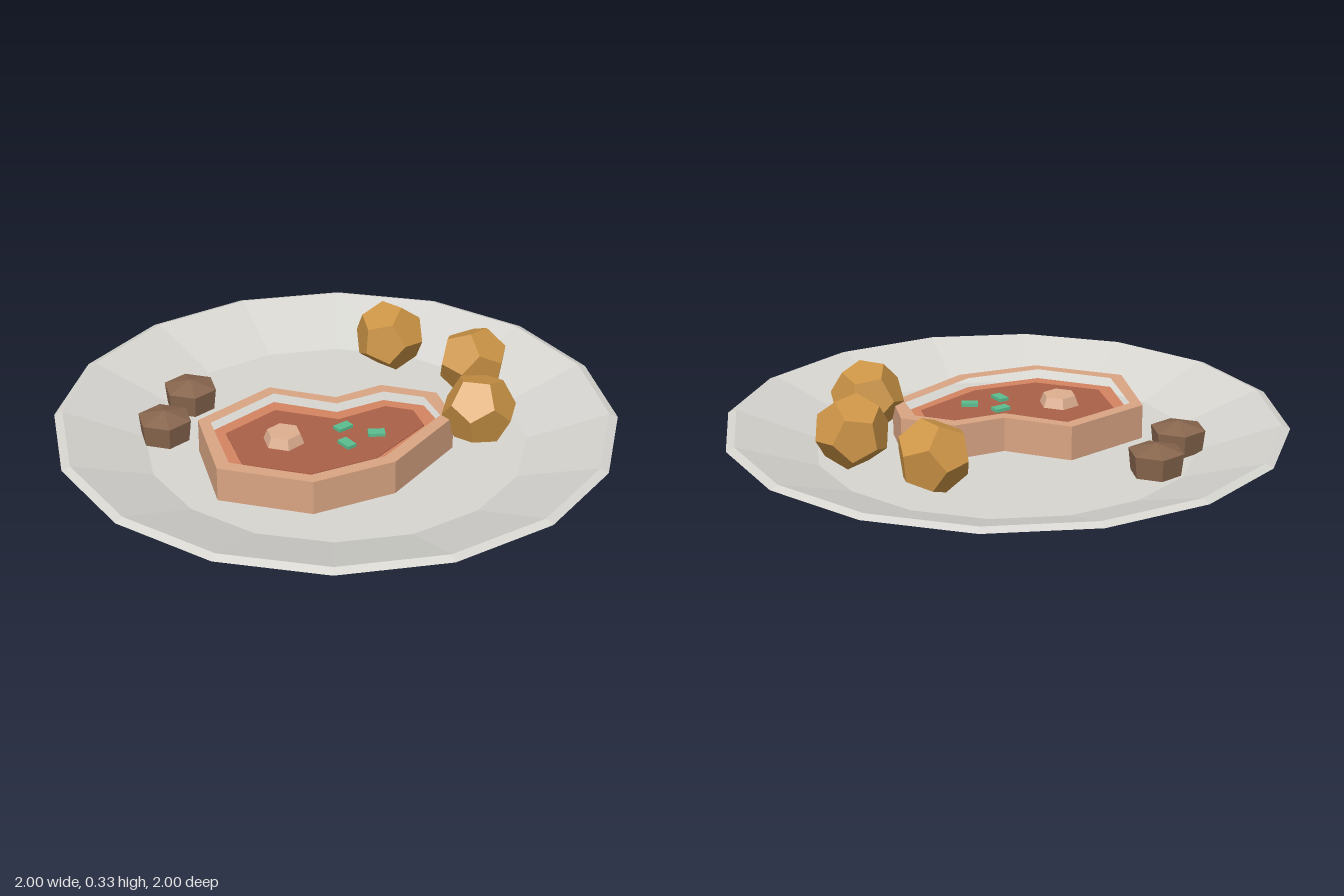
import * as THREE from 'three';

const paint = (name, color) => new THREE.MeshStandardMaterial({ name, color, flatShading: true });

export function createModel() {
  const model = new THREE.Group();
  model.name = 'dinnerPlate';

  const ceramic = paint('ceramic', 0xd6d5d0);
  const fat = paint('fat', 0xdaa584);
  const searedEdge = paint('searedEdge', 0xd48460);
  const meat = paint('meat', 0xab6048);
  const bone = paint('bone', 0xdeaf90);
  const potato = paint('potato', 0xcc9446);
  const mushroom = paint('mushroom', 0x88664e);
  const herb = paint('herb', 0x5cbd8f);

  const add = (name, geometry, material, x = 0, y = 0, z = 0, parent = model) => {
    const mesh = new THREE.Mesh(geometry, material);
    mesh.name = name;
    mesh.position.set(x, y, z);
    parent.add(mesh);
    return mesh;
  };
  const lathe = (points, sides) =>
    new THREE.LatheGeometry(points.map(([r, y]) => new THREE.Vector2(r, y)), sides);

  // Plate: sixteen-sided, with a foot, a sloping wall and a bevelled rim
  add('plate', lathe([
    [0, 0], [0.62, 0], [0.64, 0.03], [0.67, 0.05], [1, 0.148],
    [0.97, 0.16], [0.68, 0.06], [0, 0.06],
  ], 16), ceramic);

  // Steak: nested outlines given as x, z
  const outer = [[-0.58, 0.02], [-0.41, -0.27], [-0.07, -0.27], [0.05, -0.05], [0.23, 0],
    [0.33, 0.18], [0.245, 0.34], [-0.12, 0.41], [-0.41, 0.31]];
  const middle = [[-0.525, 0.02], [-0.39, -0.225], [-0.09, -0.225], [0.02, -0.015], [0.2, 0.04],
    [0.275, 0.17], [0.22, 0.3], [-0.12, 0.36], [-0.385, 0.27]];
  const inner = [[-0.465, 0.02], [-0.365, -0.175], [-0.13, -0.175], [-0.015, 0.03], [0.17, 0.08],
    [0.22, 0.17], [0.17, 0.27], [-0.11, 0.31], [-0.34, 0.23]];
  const toPoints = (outline) => outline.map(([x, z]) => new THREE.Vector2(x, -z));
  const slab = (outline, depth, hole) => {
    const shape = new THREE.Shape(toPoints(outline));
    if (hole) shape.holes.push(new THREE.Path(toPoints(hole)));
    return new THREE.ExtrudeGeometry(shape, { depth, bevelEnabled: false }).rotateX(-Math.PI / 2);
  };
  const steak = new THREE.Group();
  steak.name = 'steak';
  model.add(steak);
  add('fatRim', slab(outer, 0.125, middle), fat, 0, 0.06, 0, steak);
  add('searedLayer', slab(middle, 0.09), searedEdge, 0, 0.06, 0, steak);
  add('meatFace', slab(inner, 0.003), meat, 0, 0.15, 0, steak);
  add('bone', new THREE.CylinderGeometry(0.06, 0.074, 0.036, 6).rotateY(Math.PI / 2),
    bone, -0.255, 0.171, 0.003, steak);

  // Herb flecks: x, z, turn
  [[-0.048, 0.086, -0.1], [-0.12, 0.177, 1.45], [0.005, 0.197, -0.7]].forEach(([x, z, turn]) => {
    add('herbFleck', new THREE.BoxGeometry(0.06, 0.012, 0.037), herb, x, 0.159, z, steak).rotation.y = turn;
  });

  // Potatoes: x, z and rotation
  [[0.5, -0.22, 0.4, 0.5, 0.2], [0.572, 0.136, 0.7, 0.3, 0.9], [0.32, 0.39, 0.3, 1.1, 0.5]]
    .forEach(([x, z, a, b, c]) => {
      add('potato', new THREE.DodecahedronGeometry(0.132), potato, x, 0.208, z).rotation.set(a, b, c);
    });

  // Mushrooms: hexagonal with a shallow pointed cap
  [[-0.43, -0.43], [-0.215, -0.54]].forEach(([x, z]) => {
    const cap = lathe([[0, 0.06], [0.09, 0.06], [0.099, 0.14], [0, 0.168]], 6).rotateY(Math.PI / 2);
    add('mushroom', cap, mushroom, x, 0, z);
  });

  return model;
}
